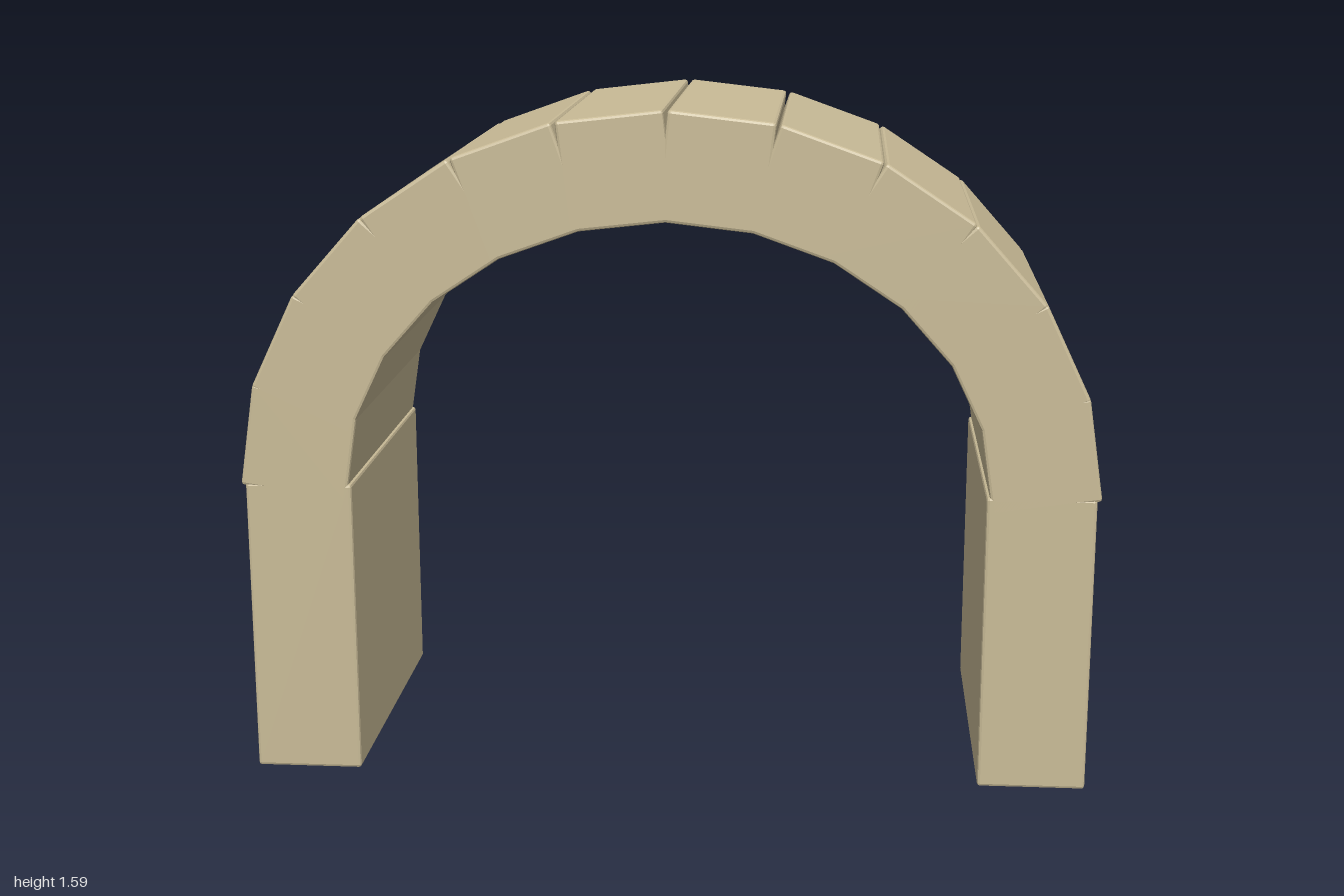
import * as THREE from 'three';
import { RoundedBoxGeometry } from 'three/addons/geometries/RoundedBoxGeometry.js';

const DEPTH = 0.794, THICK = 0.252, SPRING = 0.71; // SPRING: height where the curve starts
const RX = 0.866, RY = 0.747; // centre line of the arch
const BLOCKS = 12, BLOCK_LENGTH = 0.245, BEVEL = 0.007;

export function createModel() {
  const group = new THREE.Group();
  group.name = 'stoneArch';
  const stone = new THREE.MeshStandardMaterial({ color: 0xc9bb97, flatShading: true });

  // Stone block with a small chamfer on every edge
  const addBlock = (name, w, h, x, y, angle = 0) => {
    const mesh = new THREE.Mesh(new RoundedBoxGeometry(w, h, DEPTH, 1, BEVEL), stone);
    mesh.name = name;
    mesh.position.set(x, y, 0);
    mesh.rotation.z = angle;
    group.add(mesh);
  };

  // Upright piers
  for (const side of [-1, 1]) {
    addBlock(side > 0 ? 'leftPier' : 'rightPier', THICK, SPRING, side * 0.865, SPRING / 2);
  }

  // Arch stones, each lying along the tangent of the half ellipse
  for (let i = 0; i < BLOCKS; i++) {
    const t = ((i + 0.5) / BLOCKS) * Math.PI;
    const c = Math.cos(t), s = Math.sin(t);
    addBlock(`archStone${i + 1}`, BLOCK_LENGTH, THICK, RX * c, SPRING + RY * s, Math.atan2(-RY * c, RX * s));
  }
  return group;
}
